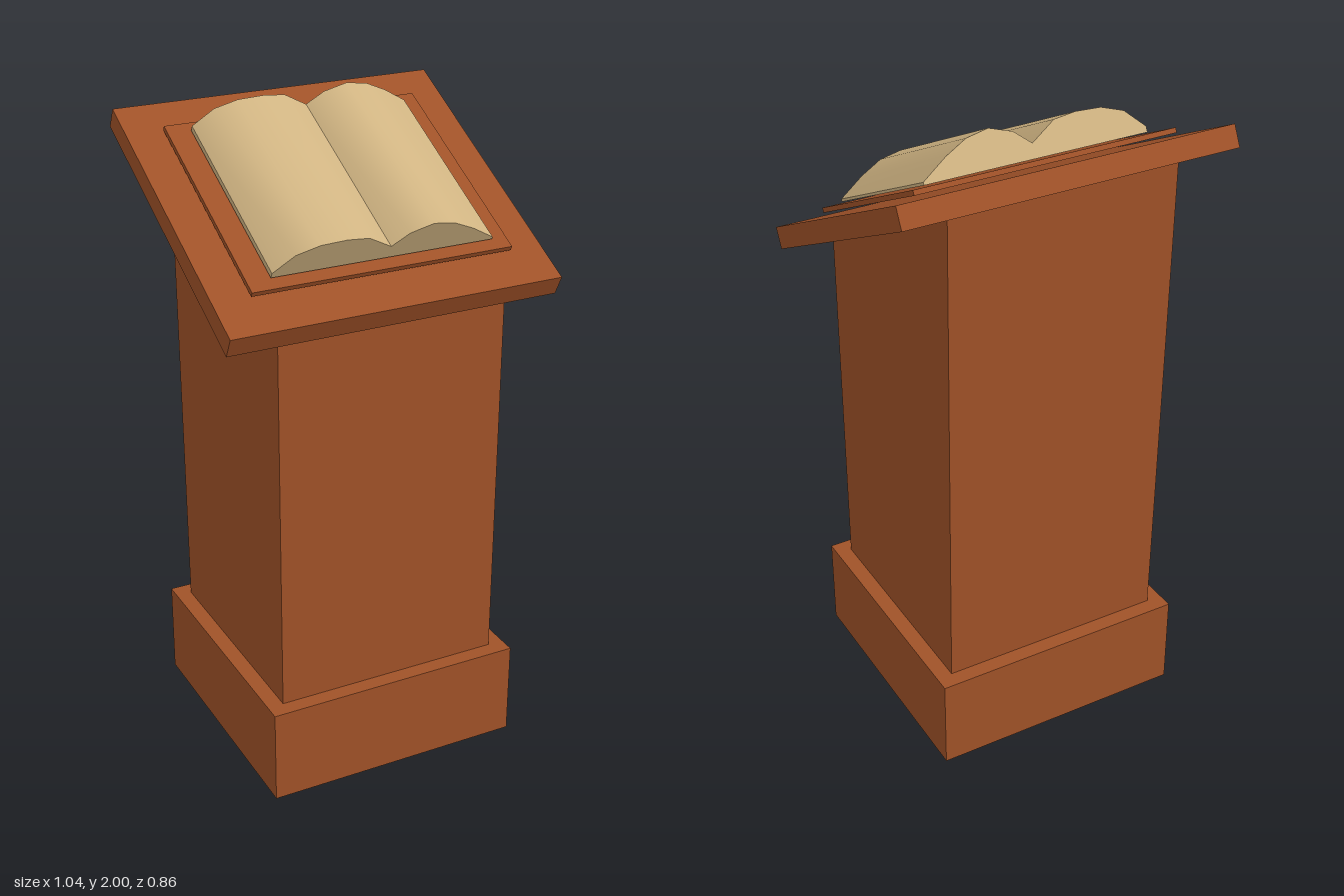
import * as THREE from 'three';
import { toCreasedNormals } from 'three/addons/utils/BufferGeometryUtils.js';

export function createModel() {
  const model = new THREE.Group();
  model.name = 'lectern';

  const wood = new THREE.MeshStandardMaterial({ color: 0xa05228 });
  wood.name = 'wood';
  const paper = new THREE.MeshStandardMaterial({ color: 0xd0b482 });
  paper.name = 'paper';

  function add(parent, name, geometry, material, x = 0, y = 0, z = 0) {
    const mesh = new THREE.Mesh(geometry, material);
    mesh.name = name;
    mesh.position.set(x, y, z);
    parent.add(mesh);
    return mesh;
  }

  // Extrudes an outline, centred on its depth
  function prism(points, depth) {
    const shape = new THREE.Shape(points.map(([x, y]) => new THREE.Vector2(x, y)));
    const geometry = new THREE.ExtrudeGeometry(shape, { depth, bevelEnabled: false });
    return geometry.translate(0, 0, -depth / 2);
  }

  // Plinth
  add(model, 'base', new THREE.BoxGeometry(0.82, 0.3, 0.82), wood, 0, 0.15, 0.02);

  // Column: side outline (z, y) with a sloped top and slightly leaning back
  const side = [[-0.34, 0.29], [0.38, 0.29], [0.38, 1.49], [-0.365, 1.87]];
  add(model, 'column', prism(side, 0.72).rotateY(-Math.PI / 2), wood);

  // Sloped reading desk
  const desk = new THREE.Group();
  desk.name = 'readingDesk';
  desk.position.set(0, 1.71, 0.0025);
  desk.rotation.x = 0.471;
  model.add(desk);
  add(desk, 'deskBoard', new THREE.BoxGeometry(1.04, 0.067, 0.926), wood);
  add(desk, 'bookRest', new THREE.BoxGeometry(0.82, 0.015, 0.676), wood, 0, 0.0515, 0);

  // Open book: two arched pages meeting at a sharp valley
  const pages = [
    [-0.34, 0], [0.36, 0], [0.36, 0.008],
    [0.28, 0.06], [0.21, 0.095], [0.14, 0.108], [0.07, 0.085], [0.02, 0.043],
    [-0.06, 0.092], [-0.13, 0.1], [-0.21, 0.096], [-0.28, 0.073], [-0.34, 0.017],
  ];
  add(desk, 'openBook', toCreasedNormals(prism(pages, 0.602), 0.6), paper, 0, 0.0635, 0);

  return model;
}
